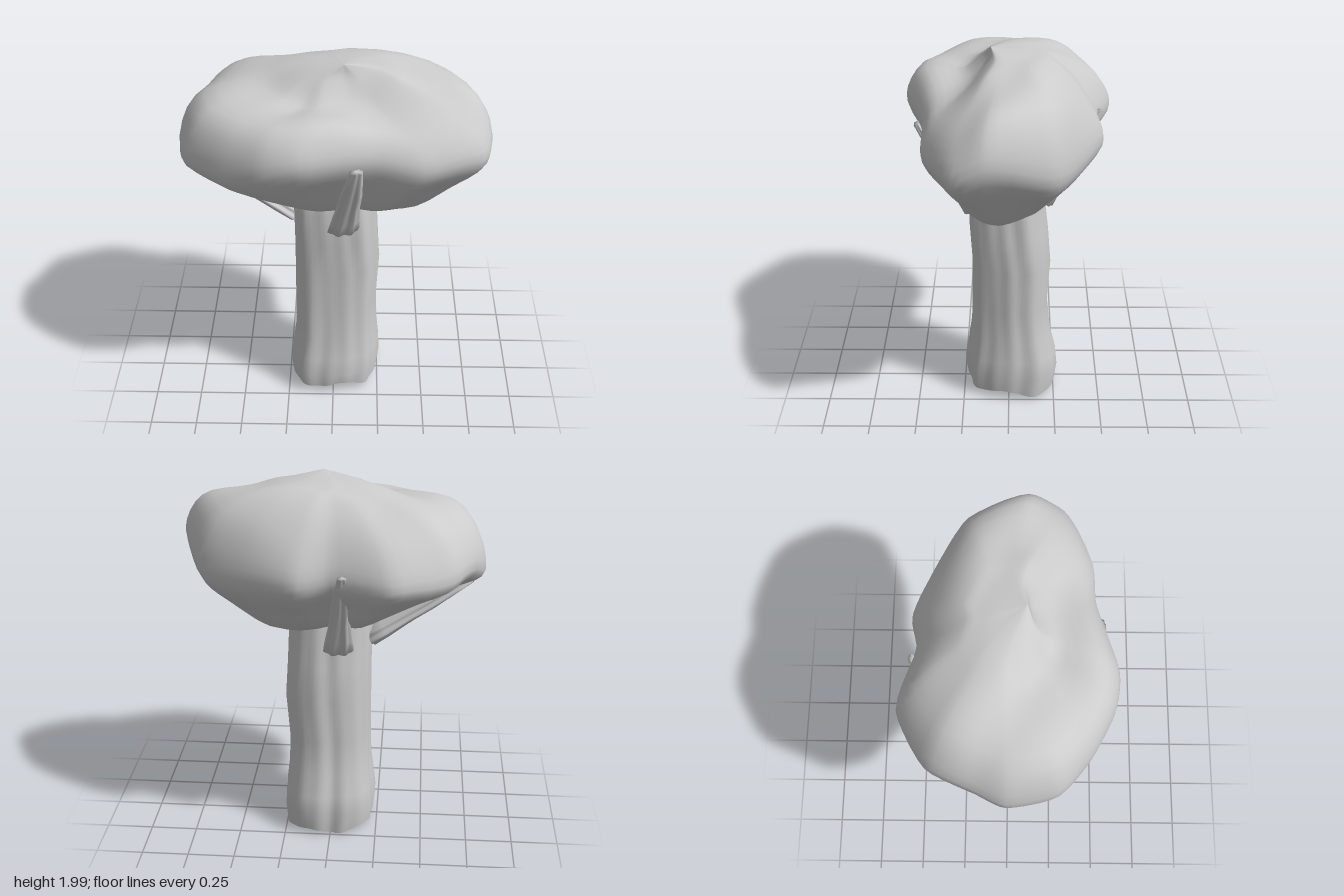
import * as THREE from 'three';

const material = new THREE.MeshStandardMaterial({ color: 0xcccccc, roughness: 0.9 });

// Skin a stack of closed rings (bottom to top, angle running from +x to +z)
function loft(rings) {
  const n = rings[0].length, pos = [], index = [];
  for (const ring of rings) for (const p of ring) pos.push(p.x, p.y, p.z);
  for (let i = 0; i < rings.length - 1; i++) {
    for (let j = 0; j < n; j++) {
      const a = i * n + j, b = i * n + (j + 1) % n, c = a + n, d = b + n;
      index.push(a, c, b, b, c, d);
    }
  }
  const g = new THREE.BufferGeometry();
  g.setAttribute('position', new THREE.Float32BufferAttribute(pos, 3));
  g.setIndex(index);
  g.computeVertexNormals();
  return g;
}

function addPart(group, name, geometry) {
  const mesh = new THREE.Mesh(geometry, material);
  mesh.name = name;
  group.add(mesh);
}

// Ring of points from a function of angle
function makeRing(n, fn) {
  return Array.from({ length: n }, (_, j) => fn(j / n * Math.PI * 2));
}

// Irregular grooves running along bark
const bark = (a, y) =>
  0.5 * Math.sin(9 * a + 1.2 * Math.sin(3 * y)) + 0.35 * Math.sin(5 * a + 1 + 2 * y) + 0.4 * Math.sin(14 * a + 2 + Math.sin(4 * y));

// Trunk stations: y, min x, max x, min z, max z
const trunkStations = [
  [0.04, -0.225, 0.245, -0.245, 0.235], [0.14, -0.235, 0.255, -0.26, 0.245], [0.24, -0.225, 0.25, -0.25, 0.23],
  [0.36, -0.21, 0.235, -0.22, 0.21], [0.55, -0.205, 0.23, -0.2, 0.205], [0.8, -0.205, 0.245, -0.215, 0.2],
  [1.0, -0.205, 0.23, -0.2, 0.215], [1.2, -0.21, 0.22, -0.18, 0.22], [1.4, -0.2, 0.2, -0.17, 0.2],
];

function trunkGeometry() {
  const n = 72;
  const rings = trunkStations.map(([y, x0, x1, z0, z1], i) => makeRing(n, a => {
    // Squarish section, fuller along one diagonal
    const square = 0.12 * Math.sin(2 * a) ** 2 - 0.05 * Math.sin(2 * a);
    const k = 0.985 + square + 0.04 * bark(a, y);
    const ragged = i === 0 ? 0.014 * Math.sin(5 * a + 1) + 0.02 * Math.sin(a) : 0;
    return new THREE.Vector3(
      (x0 + x1) / 2 + (x1 - x0) / 2 * k * Math.cos(a),
      y + ragged,
      (z0 + z1) / 2 + (z1 - z0) / 2 * k * Math.sin(a));
  }));
  // Hard-edged underside and hidden top cap
  const foot = rings[0].map(p => p.clone());
  const under = makeRing(n, () => new THREE.Vector3(0, 0.05, 0));
  const cap = makeRing(n, () => new THREE.Vector3(0, 1.42, 0));
  return [loft([under, foot]), loft([...rings, cap])];
}

// Canopy outline: x, z, then heights of underside, rim, shoulder and crown
const canopyOutline = [
  [0.795, 0.1, 1.17, 1.63, 1.85, 1.94], [0.745, 0.28, 1.19, 1.56, 1.76, 1.92],
  [0.45, 0.425, 1.21, 1.58, 1.74, 1.84], [0.2, 0.44, 1.23, 1.63, 1.77, 1.84],
  [-0.15, 0.535, 1.24, 1.66, 1.81, 1.84], [-0.35, 0.515, 1.25, 1.6, 1.82, 1.83],
  [-0.56, 0.41, 1.26, 1.53, 1.8, 1.86], [-0.745, 0.25, 1.29, 1.53, 1.79, 1.87],
  [-0.795, 0, 1.32, 1.49, 1.78, 1.9], [-0.735, -0.15, 1.32, 1.56, 1.79, 1.91],
  [-0.615, -0.39, 1.32, 1.57, 1.79, 1.91], [-0.33, -0.545, 1.27, 1.54, 1.71, 1.91],
  [-0.02, -0.45, 1.25, 1.57, 1.74, 1.94], [0.17, -0.475, 1.23, 1.55, 1.74, 1.94],
  [0.43, -0.365, 1.19, 1.53, 1.8, 1.95], [0.67, -0.22, 1.18, 1.56, 1.84, 1.95],
];

function canopyGeometry() {
  // Radial section through each outline point
  const sections = canopyOutline.map(([x, z, low, rim, shoulder, crown]) => {
    const at = (k, y) => new THREE.Vector3(x * k, y, z * k);
    return new THREE.CatmullRomCurve3([
      at(0, 1.26), at(0.45, low), at(0.8, low + 0.51 * (rim - low)), at(1, rim),
      at(0.86, shoulder), at(0.45, crown), at(0.25, 0.35 * crown + 0.65 * 1.98), new THREE.Vector3(0.05, 1.99, 0.09),
    ], false, 'centripetal').getPoints(32);
  });
  // Blend the sections around the canopy and roughen them into lumps
  const n = 80;
  const rings = sections[0].map((_, i) => {
    const curve = new THREE.CatmullRomCurve3(sections.map(s => s[i]), true, 'catmullrom', 0.35);
    return Array.from({ length: n }, (_, j) => {
      const p = curve.getPoint(j / n);
      const fade = Math.min(1, Math.hypot(p.x, p.z) * 3);
      const swell = 1 + 0.008 * fade * Math.sin(11 * p.y + 7 * p.x - 5 * p.z);
      const lift = 0.008 * fade * (Math.sin(9 * p.x + 4 * p.z) + Math.sin(17 * p.z - 8 * p.x + 1));
      return new THREE.Vector3(p.x * swell, p.y + lift, p.z * swell);
    });
  });
  return loft(rings);
}

// Tapered, grooved and slightly flattened limb from one point to another
function limbGeometry(from, to, r0, r1) {
  const a = new THREE.Vector3(...from), dir = new THREE.Vector3(...to).sub(a);
  const length = dir.length();
  const rings = [[0, 0], [0, 1], [0.15, 1.02], [0.4, 0.95], [0.6, 1.08], [0.8, 1], [1, 0.9], [1, 0]].map(([t, k]) =>
    makeRing(28, ang => {
      const r = k * (r0 + (r1 - r0) * t) * (1 + 0.12 * Math.sin(7 * ang + 2 * t) + 0.08 * Math.sin(3 * ang));
      return new THREE.Vector3(Math.cos(ang) * r, t * length, Math.sin(ang) * r * 0.65);
    }));
  const g = loft(rings);
  // Keep the broad side tangent to the trunk
  const up = dir.clone().normalize();
  const outward = new THREE.Vector3(dir.x, 0, dir.z).normalize();
  const side = new THREE.Vector3().crossVectors(up, outward).normalize();
  const depth = new THREE.Vector3().crossVectors(side, up);
  g.applyMatrix4(new THREE.Matrix4().makeBasis(side, up, depth).setPosition(a));
  return g;
}

export function createModel() {
  const tree = new THREE.Group();
  tree.name = 'tree';

  const [underside, bole] = trunkGeometry();
  addPart(tree, 'trunk', bole);
  addPart(tree, 'trunkUnderside', underside);
  addPart(tree, 'canopy', canopyGeometry());

  // Three limbs propping up the canopy
  addPart(tree, 'frontBranch', limbGeometry([0.05, 1.11, 0.2], [0.115, 1.61, 0.465], 0.075, 0.035));
  addPart(tree, 'backBranch', limbGeometry([-0.04, 1.11, -0.19], [-0.075, 1.61, -0.475], 0.07, 0.025));
  addPart(tree, 'rightBranch', limbGeometry([-0.2, 1.1, 0.02], [-0.72, 1.45, 0.03], 0.07, 0.05));

  return tree;
}
